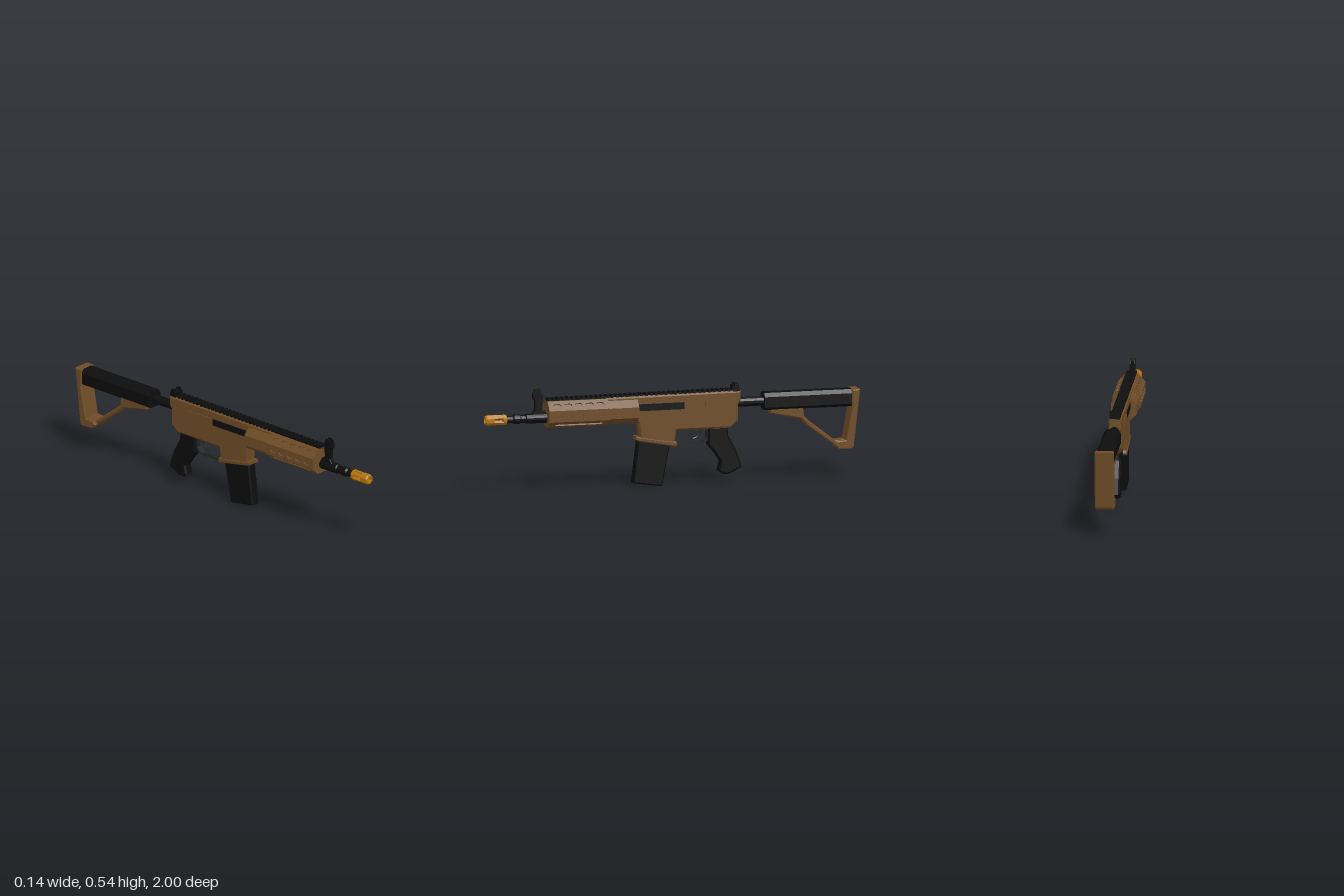
import * as THREE from 'three';

const mat = (color) => new THREE.MeshStandardMaterial({ color, flatShading: true });
const tan = mat(0x6e4c26), black = mat(0x0d0d0d), gold = mat(0xb5740f), steel = mat(0x222325);

export function createModel() {
  const root = new THREE.Group();
  const add = (name, geo, material, parent = root) => {
    const m = new THREE.Mesh(geo, material);
    m.name = name;
    parent.add(m);
    return m;
  };
  const box = (name, material, x, y, z, w, h, d) => {
    const m = add(name, new THREE.BoxGeometry(w, h, d), material);
    m.position.set(x, y, z);
    return m;
  };
  const path = (pts) => pts.map(([a, b]) => new THREE.Vector2(a, b));

  // Side outline in (z, y), extruded across x with bevelled edges
  const slab = (name, material, pts, half, bevel = 0.008, hole) => {
    const s = new THREE.Shape(path(pts));
    if (hole) s.holes.push(new THREE.Path(path(hole)));
    const g = new THREE.ExtrudeGeometry(s, {
      depth: 2 * (half - bevel), bevelEnabled: bevel > 0, bevelThickness: bevel,
      bevelSize: bevel, bevelOffset: -bevel, bevelSegments: 1,
    });
    g.translate(0, 0, bevel - half).rotateY(-Math.PI / 2);
    return add(name, g, material);
  };

  // Outline in (x, y), extruded along z from z0 to z1
  const prism = (name, material, pts, z0, z1) => {
    const g = new THREE.ExtrudeGeometry(new THREE.Shape(path(pts)), { depth: z1 - z0, bevelEnabled: false });
    return add(name, g.translate(0, 0, z0), material);
  };

  // Profile of (radius, z) turned around the z axis at height y
  const turned = (name, material, pts, y, sides) => {
    const g = new THREE.LatheGeometry(path(pts), sides).rotateZ(0);
    g.rotateY(Math.PI / sides).rotateX(Math.PI / 2);
    const m = add(name, g, material);
    m.position.y = y;
    return m;
  };

  // Receiver with magazine well
  slab('receiver', tan, [
    [0.36, 0.48], [0.36, 0.345], [0.185, 0.335], [0.175, 0.25], [-0.01, 0.215], [-0.02, 0.29],
    [-0.31, 0.29], [-0.35, 0.325], [-0.35, 0.41], [-0.365, 0.43], [-0.365, 0.485],
  ], 0.033, 0.01);
  slab('magazineWellRim', tan, [[0.197, 0.268], [0.197, 0.25], [0.185, 0.242], [-0.015, 0.205], [-0.025, 0.218], [-0.018, 0.232]], 0.036, 0.006);
  for (const s of [-1, 1]) {
    box('sideStrip', black, s * 0.03, 0.42, 0.07, 0.009, 0.036, 0.26);
    box('sideCover', tan, s * 0.032, 0.42, -0.115, 0.011, 0.04, 0.11);
    box('sideLatch', tan, s * 0.031, 0.423, -0.21, 0.009, 0.025, 0.07);
  }

  // Octagonal handguard: inner core wrapped by slotted panels
  const outer = [[0.072, 0.37], [0.072, 0.43], [0.03, 0.475], [-0.03, 0.475],
    [-0.072, 0.43], [-0.072, 0.37], [-0.035, 0.336], [0.035, 0.336]];
  const scaled = (k) => outer.map(([x, y]) => [x * k, 0.404 + (y - 0.404) * k]);
  prism('handguardCore', tan, scaled(0.88), 0.35, 0.668);
  prism('handguardFrontCap', tan, scaled(0.995), 0.66, 0.672);
  prism('handguardRear', tan, scaled(0.92), 0.19, 0.352);

  const stadium = (u, v, halfLen, r) => {
    const p = new THREE.Path();
    p.absarc(u + halfLen - r, v, r, -Math.PI / 2, Math.PI / 2, false);
    p.absarc(u - halfLen + r, v, r, Math.PI / 2, Math.PI * 1.5, false);
    p.closePath();
    return p;
  };
  outer.forEach(([x0, y0], i) => {
    const [x1, y1] = outer[(i + 1) % 8];
    const w = Math.hypot(x1 - x0, y1 - y0), len = 0.32;
    const s = new THREE.Shape(path([[-len / 2, -w / 2], [len / 2, -w / 2], [len / 2, w / 2], [-len / 2, w / 2]]));
    const short = [0, 1, 3, 4].includes(i), long = i === 5 || i === 7;
    if (short) for (let k = 0; k < 5; k++) s.holes.push(stadium(-0.115 + k * 0.0575, 0, 0.021, 0.0115));
    if (long) s.holes.push(stadium(0, 0, 0.13, 0.009));
    const g = new THREE.ExtrudeGeometry(s, { depth: 0.008, bevelEnabled: false, curveSegments: 5 });
    g.translate(0, 0, -0.008);
    // Panel axes: u along -z, v along the octagon edge, face outward
    const v = new THREE.Vector3((x1 - x0) / w, (y1 - y0) / w, 0);
    const n = new THREE.Vector3(v.y, -v.x, 0);
    const u = new THREE.Vector3().crossVectors(v, n);
    g.applyMatrix4(new THREE.Matrix4().makeBasis(u, v, n).setPosition((x0 + x1) / 2, (y0 + y1) / 2, 0.51));
    add('handguardPanel', g, tan);
  });

  // Top rail with low teeth
  slab('topRail', black, [[0.672, 0.465], [0.672, 0.48], [-0.36, 0.487], [-0.36, 0.465]], 0.022, 0);
  for (let i = 0; i < 40; i++) {
    const z = 0.66 - i * 0.026;
    box('railTooth', black, 0, 0.482 + i * 0.00017, z, 0.054, 0.012, 0.015);
  }

  // Rear sight
  box('rearSightBase', black, 0, 0.495, -0.34, 0.054, 0.03, 0.035);
  for (const s of [-1, 1]) box('rearSightEar', black, s * 0.019, 0.511, -0.343, 0.016, 0.02, 0.02);

  // Barrel, front sight and muzzle
  turned('barrel', black, [
    [0, 0.65], [0.026, 0.65], [0.026, 0.78], [0.021, 0.785], [0.021, 0.81], [0.025, 0.815],
    [0.025, 0.845], [0.019, 0.855], [0.019, 0.895], [0, 0.895],
  ], 0.385, 16);
  slab('frontSightPost', black, [
    [0.75, 0.365], [0.75, 0.405], [0.735, 0.43], [0.735, 0.48], [0.745, 0.49], [0.745, 0.515],
    [0.695, 0.515], [0.695, 0.48], [0.7, 0.43], [0.675, 0.42], [0.675, 0.365],
  ], 0.014, 0.003);
  for (const s of [-1, 1]) {
    slab('frontSightEar', black, [[0.743, 0.505], [0.738, 0.53], [0.73, 0.537], [0.705, 0.537], [0.697, 0.505]], 0.003, 0)
      .position.x = s * 0.011;
  }
  box('frontSightPin', black, 0, 0.518, 0.72, 0.004, 0.018, 0.006);
  turned('muzzleRear', gold, [[0, 0.886], [0.024, 0.886], [0.028, 0.89], [0.028, 0.905], [0, 0.905]], 0.385, 8);
  turned('muzzleFront', gold, [
    [0.016, 0.957], [0.028, 0.957], [0.028, 0.992], [0.023, 1], [0.016, 1], [0.016, 0.957],
  ], 0.385, 8);
  for (let i = 0; i < 4; i++) {
    const a = Math.PI / 4 + i * Math.PI / 2;
    box('muzzleBar', gold, Math.cos(a) * 0.021, 0.385 + Math.sin(a) * 0.021, 0.931, 0.009, 0.019, 0.056).rotation.z = a;
  }

  // Magazine
  slab('magazine', black, [[0.183, 0.26], [0.012, 0.225], [0.056, 0], [0.212, 0.023]], 0.027, 0.007);

  // Grip
  slab('grip', black, [
    [-0.19, 0.3], [-0.19, 0.205], [-0.225, 0.165], [-0.258, 0.115], [-0.247, 0.065], [-0.275, 0.047],
    [-0.31, 0.05], [-0.372, 0.083], [-0.345, 0.165], [-0.3, 0.25], [-0.295, 0.3],
  ], 0.027, 0.009);

  // Trigger and guard
  slab('triggerGuard', steel, [
    [-0.01, 0.295], [-0.01, 0.225], [-0.035, 0.205], [-0.16, 0.205], [-0.195, 0.23], [-0.195, 0.295],
  ], 0.014, 0, [[-0.022, 0.285], [-0.185, 0.285], [-0.185, 0.236], [-0.157, 0.215], [-0.038, 0.215], [-0.022, 0.23]]);
  const bend = new THREE.CatmullRomCurve3([[-0.155, 0.295], [-0.15, 0.265], [-0.135, 0.245], [-0.115, 0.238]]
    .map(([z, y]) => new THREE.Vector3(0, y, z)));
  add('trigger', new THREE.TubeGeometry(bend, 8, 0.006, 6), steel);

  // Stock tube and sleeve
  turned('bufferTube', black, [[0, -0.52], [0.025, -0.52], [0.025, -0.35], [0, -0.35]], 0.42, 12);
  prism('stockSleeve', black, [
    [0.03, 0.375], [0.044, 0.39], [0.044, 0.445], [0.028, 0.465],
    [-0.028, 0.465], [-0.044, 0.445], [-0.044, 0.39], [-0.03, 0.375],
  ], -0.96, -0.49);

  // Open stock frame and wide butt plate
  slab('stockBrace', tan, [
    [-0.52, 0.395], [-0.525, 0.355], [-0.6, 0.34], [-0.685, 0.322], [-0.725, 0.28], [-0.885, 0.16],
    [-0.955, 0.16], [-0.955, 0.2], [-0.87, 0.2], [-0.735, 0.305], [-0.705, 0.335], [-0.7, 0.395],
  ], 0.032, 0.006);
  slab('buttPlate', tan, [
    [-0.957, 0.465], [-0.957, 0.37], [-0.925, 0.2], [-0.87, 0.195], [-0.86, 0.18],
    [-0.885, 0.155], [-0.957, 0.152], [-0.966, 0.165], [-1, 0.465],
  ], 0.05, 0.005);

  return root;
}
